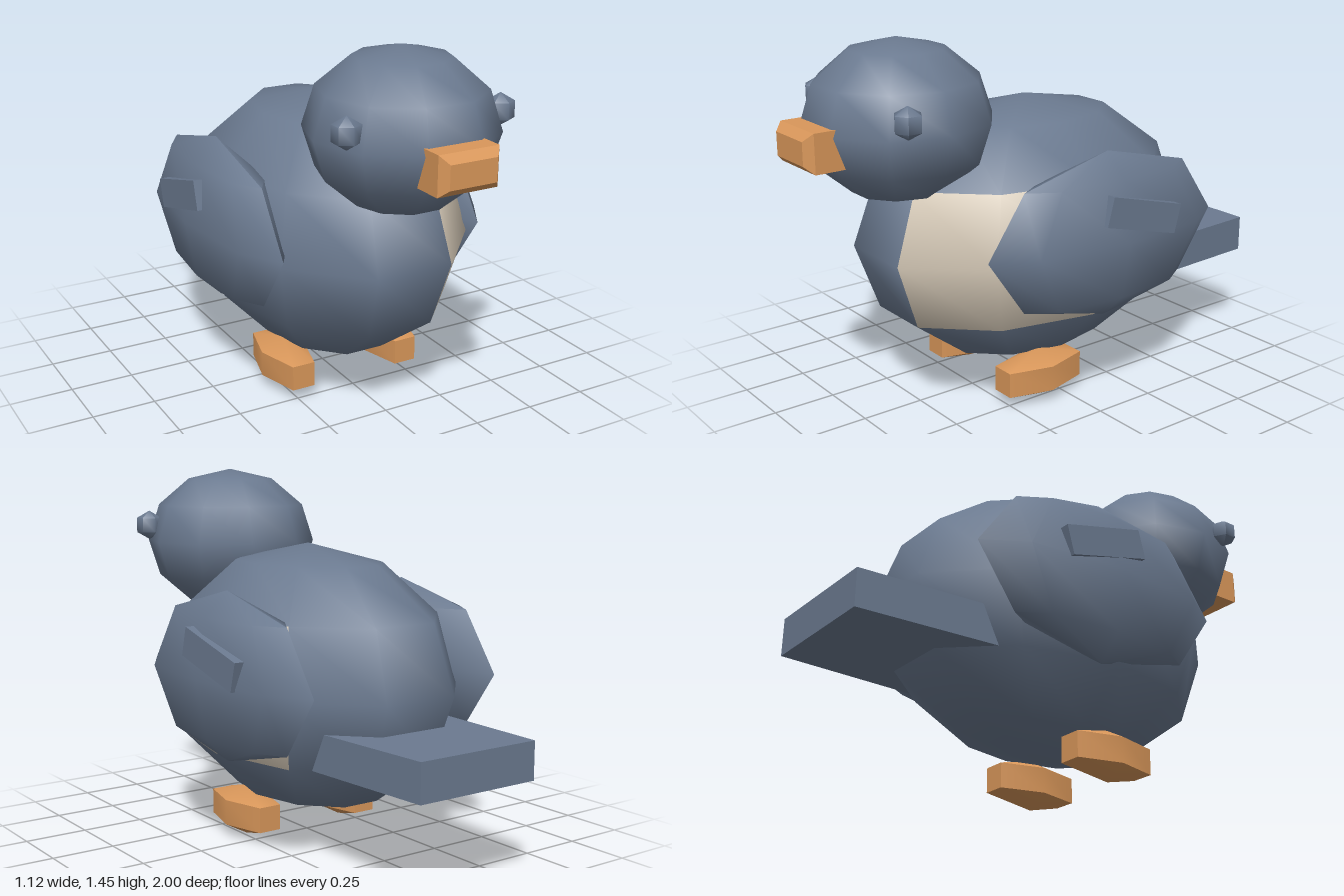
import * as THREE from 'three';
import { toCreasedNormals } from 'three/addons/utils/BufferGeometryUtils.js';

const material = (name, color) => {
  const m = new THREE.MeshStandardMaterial({ color });
  m.name = name;
  return m;
};

export function createModel() {
  const model = new THREE.Group();
  model.name = 'bird';
  const slate = material('slate feathers', 0x6b7a90);
  const cream = material('cream belly', 0xd2c6b4);
  const orange = material('orange beak and feet', 0xd9975a);

  const add = (name, geometry, mat, x, y, z) => {
    const mesh = new THREE.Mesh(geometry, mat);
    mesh.name = name;
    mesh.position.set(x, y, z);
    model.add(mesh);
    return mesh;
  };
  const ellipsoid = (rx, ry, rz, around, high) =>
    new THREE.SphereGeometry(1, around, high).scale(rx, ry, rz);
  const creased = (geometry) => toCreasedNormals(geometry, Math.PI / 3);

  // Box whose +z or -z end is narrowed
  const taperedBox = (w, h, d, isEnd, kx, ky) => {
    const g = new THREE.BoxGeometry(w, h, d);
    const p = g.attributes.position;
    for (let i = 0; i < p.count; i++) {
      if (isEnd(p.getZ(i))) p.setXY(i, p.getX(i) * kx, p.getY(i) * ky);
    }
    g.computeVertexNormals();
    return g;
  };

  // Body: the front faces of the two middle rows form the cream belly
  const bodyGeo = ellipsoid(0.5, 0.525, 0.725, 10, 6);
  const belly = [[108, 18], [168, 18]];
  let start = 0;
  for (const [first, count] of belly) {
    bodyGeo.addGroup(start, first - start, 0);
    bodyGeo.addGroup(first, count, 1);
    start = first + count;
  }
  bodyGeo.addGroup(start, bodyGeo.index.count - start, 0);
  add('body', bodyGeo, [slate, cream], 0, 0.64, -0.01);

  // Head
  add('head', ellipsoid(0.35, 0.3, 0.36, 10, 6), slate, 0, 1.145, 0.562);

  // Beak: block with a bevelled tip
  add('beak', new THREE.BoxGeometry(0.24, 0.145, 0.15), orange, 0, 1.102, 0.893);
  add('beakTip', taperedBox(0.24, 0.145, 0.032, (z) => z > 0, 0.78, 0.6), orange, 0, 1.102, 0.984);

  // Tail: flat wedge narrowing to the back
  add('tail', taperedBox(0.6, 0.145, 0.7, (z) => z < 0, 0.87, 1), slate, 0, 0.452, -0.65);

  // Paired parts
  for (const [side, s] of [['left', 1], ['right', -1]]) {
    add(side + 'Eye', creased(ellipsoid(0.06, 0.06, 0.06, 6, 3)), slate, s * 0.31, 1.21, 0.715)
      .rotation.y = Math.PI / 2;
    add(side + 'Wing', creased(ellipsoid(0.14, 0.325, 0.55, 8, 4)), slate, s * 0.42, 0.685, -0.08);
    add(side + 'WingBar', new THREE.BoxGeometry(0.1, 0.115, 0.35), slate, s * 0.503, 0.775, -0.155)
      .rotation.x = -0.26;
    add(side + 'Foot', creased(ellipsoid(0.108, 0.1, 0.233, 6, 3)), orange, s * 0.233, 0.1, 0.095);
  }
  return model;
}
